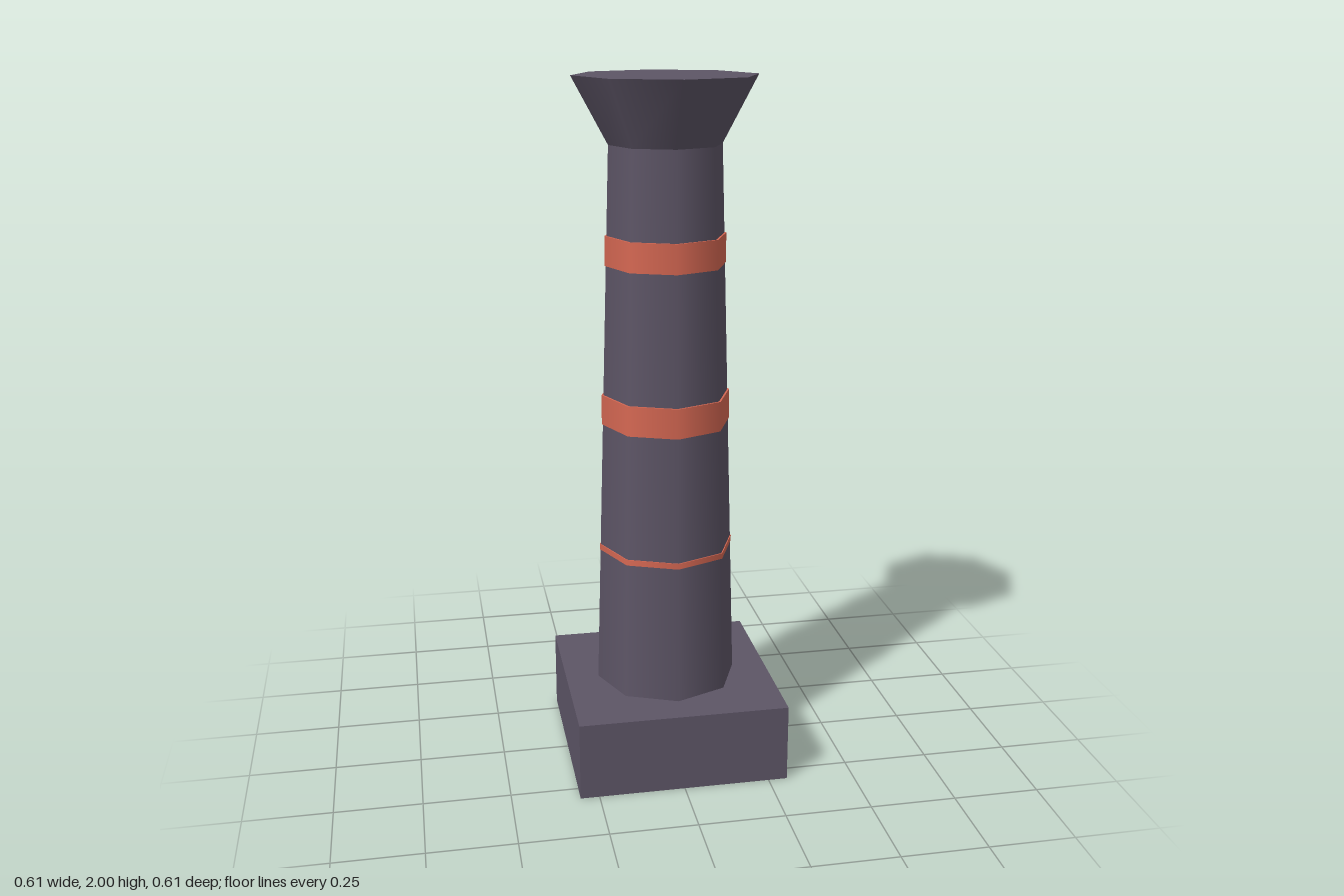
import * as THREE from 'three';

export function createModel() {
  const model = new THREE.Group();
  model.name = 'column';
  const stone = new THREE.MeshStandardMaterial({ name: 'dark stone', color: 0x5d5566 });
  const paint = new THREE.MeshStandardMaterial({ name: 'coral band', color: 0xd66853 });

  const add = (name, geometry, material, y) => {
    const mesh = new THREE.Mesh(geometry, material);
    mesh.name = name;
    mesh.position.y = y;
    model.add(mesh);
  };

  // Eight-sided, smooth-shaded drum between two heights
  const drum = (name, y0, y1, r0, r1, material, open = false) =>
    add(name, new THREE.CylinderGeometry(r1, r0, y1 - y0, 8, 1, open), material, (y0 + y1) / 2);

  // Square plinth
  add('plinth', new THREE.BoxGeometry(0.61, 0.23, 0.61), stone, 0.115);

  // Tapered shaft and flared capital
  drum('shaft', 0.23, 1.815, 0.208, 0.16, stone);
  drum('capital', 1.815, 2, 0.16, 0.26, stone);

  // Painted bands: bottom, top, radius
  [
    [0.64, 0.657, 0.198],
    [1.024, 1.111, 0.187],
    [1.483, 1.567, 0.173],
  ].forEach(([y0, y1, r], i) => drum(`band${i + 1}`, y0, y1, r, r, paint));

  return model;
}
